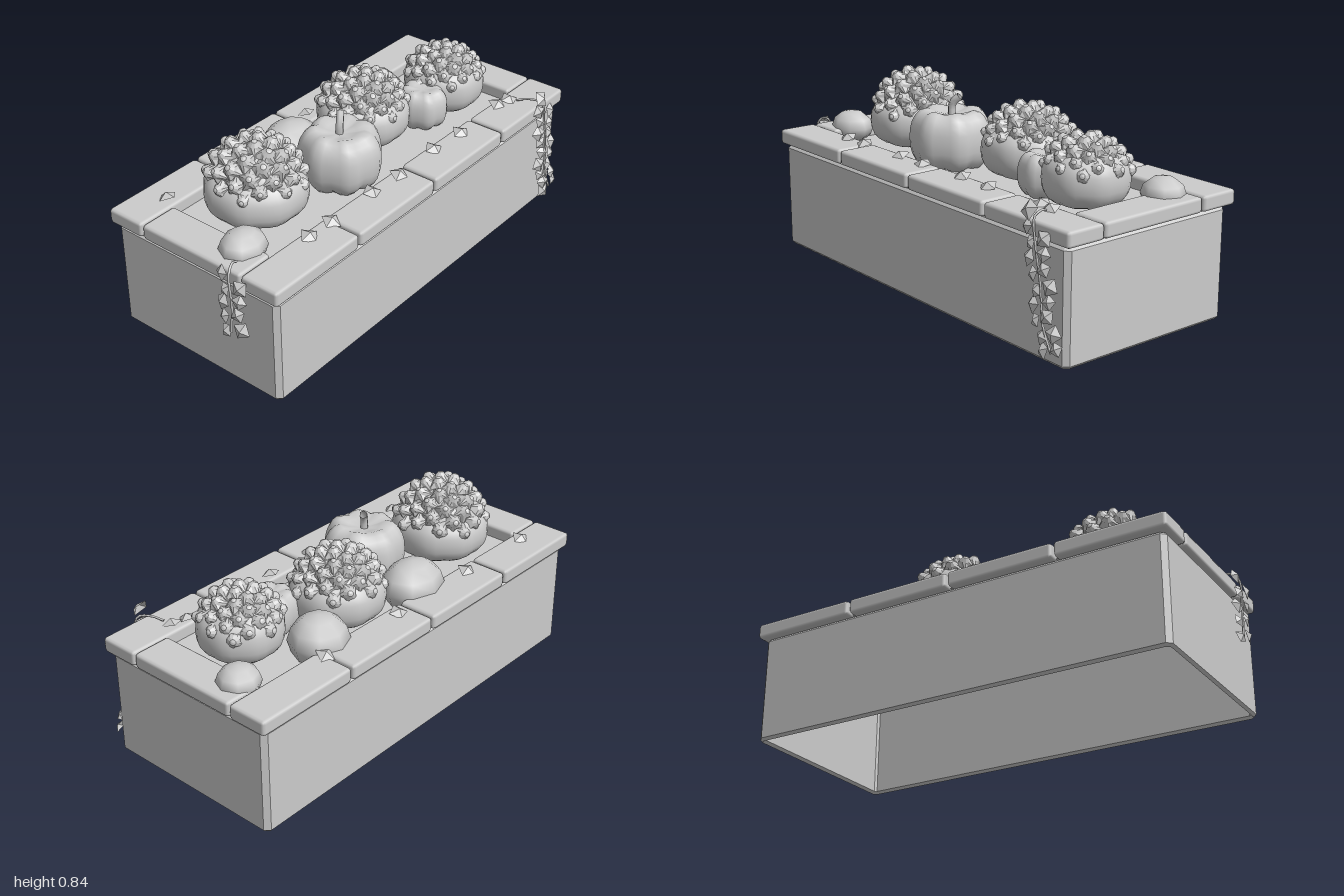
import * as THREE from 'three';
import { mergeVertices } from 'three/addons/utils/BufferGeometryUtils.js';
import { RoundedBoxGeometry } from 'three/addons/geometries/RoundedBoxGeometry.js';

const smooth = new THREE.MeshStandardMaterial({ color: 0xcccccc, side: THREE.DoubleSide });
const faceted = new THREE.MeshStandardMaterial({ color: 0xcccccc, side: THREE.DoubleSide, flatShading: true });
const UP = new THREE.Vector3(0, 1, 0);

function add(parent, name, geometry, material, x = 0, y = 0, z = 0) {
  const mesh = new THREE.Mesh(geometry, material);
  mesh.name = name;
  mesh.position.set(x, y, z);
  parent.add(mesh);
  return mesh;
}

// Rectangle with cut corners, used for the planter walls
function cutRect(Type, w, d, c) {
  const x = w / 2, y = d / 2;
  return new Type([[-x + c, -y], [x - c, -y], [x, -y + c], [x, y - c], [x - c, y], [-x + c, y], [-x, y - c], [-x, -y + c]]
    .map(([a, b]) => new THREE.Vector2(a, b)));
}

// Plump lobed sphere with a sunken crown
function pumpkinGeometry(rx, ry, lobes, depth, dimple) {
  const g = new THREE.SphereGeometry(1, lobes * 4, 14);
  const p = g.attributes.position;
  for (let i = 0; i < p.count; i++) {
    const x = p.getX(i), y = p.getY(i), z = p.getZ(i);
    const ring = Math.hypot(x, z);
    const groove = 1 - depth * Math.pow(Math.abs(Math.cos(Math.atan2(z, x) * lobes / 2)), 3) * Math.min(1, ring * 2);
    const full = Math.pow(ring, 0.65) * groove / Math.max(ring, 1e-4);
    const sink = dimple * Math.exp(-ring * ring * 9);
    p.setXYZ(i, x * full * rx, Math.sign(y) * (Math.pow(Math.abs(y), 0.85) * groove - sink) * ry, z * full * rx);
  }
  g.deleteAttribute('uv');
  g.deleteAttribute('normal');
  const merged = mergeVertices(g);
  merged.computeVertexNormals();
  return merged;
}

// Small five-pointed rosette, unit radius, pointing up
function rosetteGeometry() {
  const profile = [[1.15, -0.35], [0.5, 0.4], [0.24, 0.72], [0, 0.78]].map(([r, y]) => new THREE.Vector2(r, y));
  const g = new THREE.LatheGeometry(profile, 10);
  const p = g.attributes.position;
  for (let i = 0; i < p.count; i++) {
    const column = Math.floor(i / profile.length), row = i % profile.length;
    if (column % 2 && row === 0) {
      p.setXYZ(i, p.getX(i) * 0.58, -0.1, p.getZ(i) * 0.58);
    }
  }
  return g;
}

// Pumpkin with a dome of rosettes on its crown
function plantedPumpkin(parent, x, z, r, top, count, rosette) {
  const group = new THREE.Group();
  group.name = 'plantedPumpkin';
  group.position.set(x, 0.6, z);
  parent.add(group);
  add(group, 'pumpkinBody', pumpkinGeometry(r, 0.12, 8, 0.03, 0.1), smooth);
  const domeR = r * 0.89, domeH = top - 0.6 - 0.035;
  add(group, 'mossDome', new THREE.SphereGeometry(1, 20, 8, 0, Math.PI * 2, 0, Math.PI / 2), smooth, 0, 0.02, 0)
    .scale.set(domeR * 0.95, domeH - 0.025, domeR * 0.95);
  for (let i = 0; i < count; i++) {
    const h = 1 - 0.8 * (i + 0.3) / count, ring = Math.sqrt(1 - h * h), a = i * 2.39996;
    const dir = new THREE.Vector3(Math.cos(a) * ring, h, Math.sin(a) * ring);
    const s = add(group, 'rosette', rosette, faceted, dir.x * domeR, dir.y * domeH, dir.z * domeR);
    s.quaternion.setFromUnitVectors(UP, new THREE.Vector3(dir.x / domeR, dir.y / domeH, dir.z / domeR).normalize());
    s.rotateY(i * 1.7);
    s.scale.setScalar(0.046 + 0.004 * Math.sin(i * 2.3));
  }
}

// Hanging stem with loosely staggered folded leaves facing the given direction
function vine(parent, points, outward, count, leaf) {
  const group = new THREE.Group();
  group.name = 'trailingVine';
  parent.add(group);
  const path = new THREE.CatmullRomCurve3(points.map((p) => new THREE.Vector3(...p)));
  add(group, 'vineStem', new THREE.TubeGeometry(path, 30, 0.005, 5), smooth);
  const side = new THREE.Vector3().crossVectors(UP, outward);
  for (let i = 0; i < count; i++) {
    const s = i % 2 ? 1 : -1;
    const p = path.getPointAt(0.24 + 0.76 * i / (count - 1));
    p.addScaledVector(side, s * (0.04 + 0.012 * Math.sin(i * 2.1))).addScaledVector(outward, 0.006);
    const m = add(group, 'vineLeaf', leaf, faceted, p.x, p.y, p.z);
    m.quaternion.setFromUnitVectors(UP, outward.clone().addScaledVector(side, s * 0.25).addScaledVector(UP, 0.25).normalize());
    m.rotateY(i * 1.1);
    m.scale.setScalar(0.8 + 0.1 * Math.sin(i * 2));
  }
}

export function createModel() {
  const model = new THREE.Group();
  model.name = 'pumpkinPlanter';

  // Open-bottomed planter walls
  const outline = cutRect(THREE.Shape, 1.89, 0.82, 0.015);
  outline.holes.push(cutRect(THREE.Path, 1.89, 0.82, 0.015));
  const walls = new THREE.ExtrudeGeometry(outline, {
    depth: 0.446, bevelThickness: 0.012, bevelSize: 0.01, bevelSegments: 1,
  }).rotateX(-Math.PI / 2);
  add(model, 'planterWalls', walls, smooth, 0.015, 0.012, -0.02);
  add(model, 'soil', new THREE.PlaneGeometry(1.87, 0.8).rotateX(-Math.PI / 2), smooth, 0.015, 0.485, -0.02);

  // Coping slabs around the rim
  const longSlab = new RoundedBoxGeometry(0.48, 0.066, 0.178, 1, 0.014);
  const endSlab = new RoundedBoxGeometry(0.172, 0.066, 0.512, 1, 0.014);
  for (const s of [-1, 1]) {
    for (let i = 0; i < 4; i++) add(model, 'copingSlab', longSlab, smooth, 0.018 + (i - 1.5) * 0.49, 0.508, -0.023 + s * 0.351);
    add(model, 'endCopingSlab', endSlab, smooth, 0.018 + s * 0.888, 0.508, -0.022);
  }

  // Pumpkins
  const rosette = rosetteGeometry();
  plantedPumpkin(model, -0.54, -0.055, 0.215, 0.845, 46, rosette);
  plantedPumpkin(model, 0.185, -0.095, 0.205, 0.81, 44, rosette);
  plantedPumpkin(model, 0.64, 0.005, 0.18, 0.785, 40, rosette);
  add(model, 'plainPumpkin', pumpkinGeometry(0.178, 0.15, 7, 0.09, 0.35), smooth, -0.15, 0.605, 0.055);
  const stemPath = new THREE.CatmullRomCurve3([[-0.15, 0.69, 0.05], [-0.15, 0.74, 0.05], [-0.14, 0.765, 0.045], [-0.12, 0.785, 0.03]]
    .map((p) => new THREE.Vector3(...p)));
  add(model, 'pumpkinStem', new THREE.TubeGeometry(stemPath, 6, 0.017, 6), smooth);
  add(model, 'smallPumpkin', pumpkinGeometry(0.115, 0.105, 7, 0.09, 0.3), smooth, 0.44, 0.57, 0.035);

  // Low faceted gourds
  const gourd = new THREE.SphereGeometry(1, 8, 6);
  const gourds = [
    [-0.14, -0.225, 0.15, 0.125, 0.11], [0.44, -0.225, 0.13, 0.125, 0.11],
    [-0.81, 0.12, 0.105, 0.09, 0.075], [0.855, -0.2, 0.092, 0.088, 0.07],
  ];
  for (const [x, z, rx, rz, ry] of gourds) {
    add(model, 'gourd', gourd, smooth, x, 0.54, z).scale.set(rx, ry, rz);
  }

  // Folded leaves scattered along the rim
  const leaf = new THREE.ConeGeometry(0.043, 0.022, 4, 1, true);
  const rimLeaves = [
    [[-0.61, -0.48, -0.22, -0.05, 0.2, 0.38, 0.68, 0.75], 0.28, 0.3],
    [[-0.76, -0.37, 0.09, 0.52], -0.34, -0.35],
  ];
  for (const [xs, z, tilt] of rimLeaves) {
    xs.forEach((x, i) => {
      const m = add(model, 'rimLeaf', leaf, faceted, x, 0.557, z + 0.01 * Math.sin(i * 3));
      m.rotation.set(tilt, 0.4 * Math.sin(i * 2.5), 0);
    });
  }

  // Vines hanging over the front and the right end
  vine(model, [[0.76, 0.55, 0.32], [0.78, 0.562, 0.36], [0.81, 0.55, 0.42], [0.83, 0.45, 0.428], [0.86, 0.3, 0.428],
    [0.87, 0.17, 0.428], [0.92, 0.06, 0.428]], new THREE.Vector3(0, 0, 1), 17, leaf);
  vine(model, [[-0.91, 0.555, 0.18], [-0.94, 0.565, 0.185], [-0.975, 0.54, 0.2], [-0.978, 0.4, 0.21], [-0.978, 0.27, 0.2]],
    new THREE.Vector3(-1, 0, 0), 9, leaf);
  const curl = add(model, 'curlingLeaf', leaf, faceted, 0.79, 0.585, 0.435);
  curl.rotation.set(1.1, 0.4, 0);

  return model;
}
